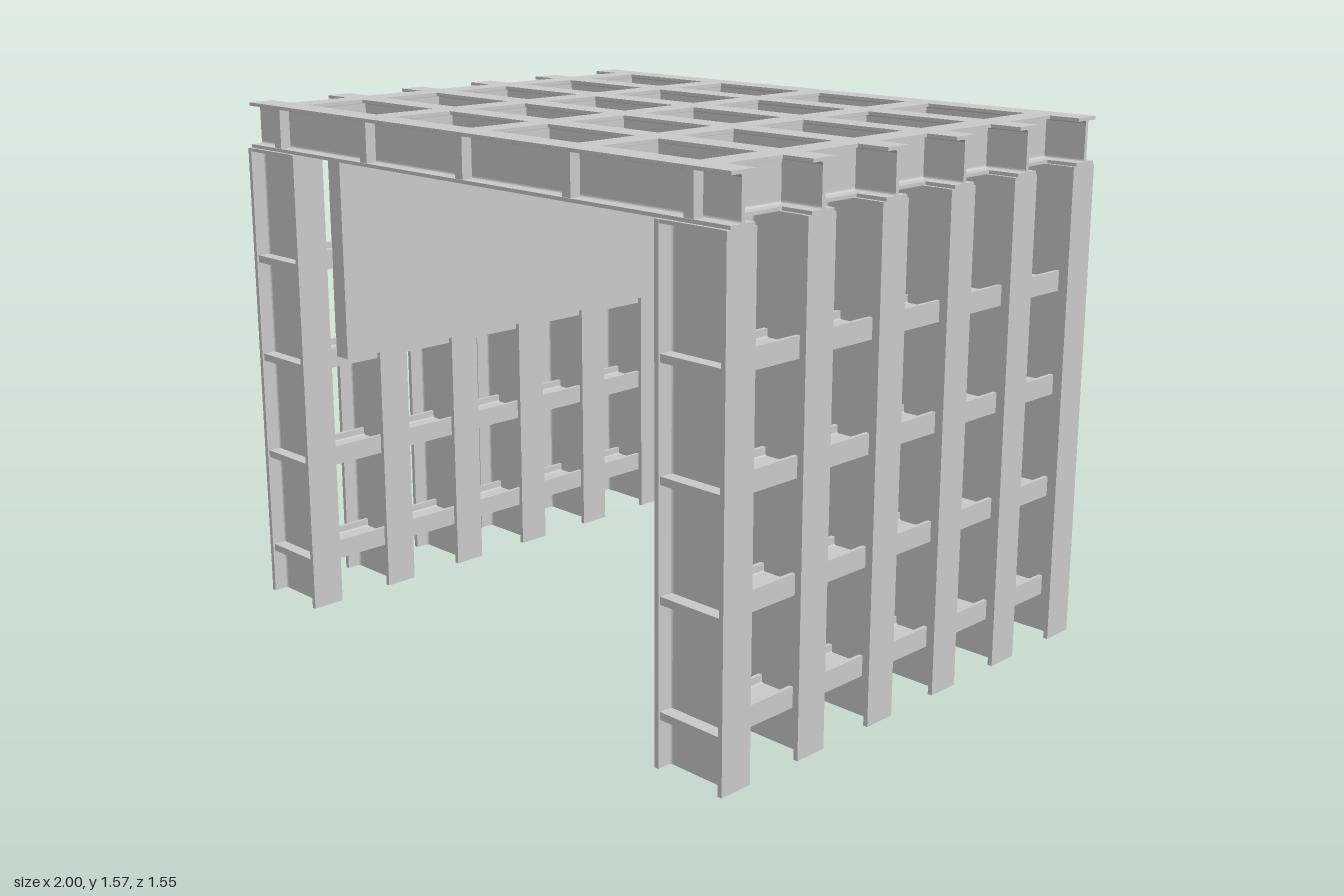
import * as THREE from 'three';

const STEEL = new THREE.MeshStandardMaterial({ color: 0xcccccc });
const PITCH = 0.287, FRAMES = 6, FIRST_Z = 0.722;
const WALL_X = 0.881, WALL_TOP = 1.435, ROOF_TOP = 1.572;

// Rolled I-section extruded along z: depth in y, flange width in x, filleted roots
function iBeam(depth, width, tf, tw, length, r) {
  const h = depth / 2, w = width / 2, t = tw / 2, f = h - tf;
  const s = new THREE.Shape();
  s.moveTo(-w, -h);
  s.lineTo(w, -h);
  s.lineTo(w, -f);
  s.lineTo(t + r, -f);
  s.quadraticCurveTo(t, -f, t, -f + r);
  s.lineTo(t, f - r);
  s.quadraticCurveTo(t, f, t + r, f);
  s.lineTo(w, f);
  s.lineTo(w, h);
  s.lineTo(-w, h);
  s.lineTo(-w, f);
  s.lineTo(-t - r, f);
  s.quadraticCurveTo(-t, f, -t, f - r);
  s.lineTo(-t, -f + r);
  s.quadraticCurveTo(-t, -f, -t - r, -f);
  s.lineTo(-w, -f);
  s.closePath();
  const g = new THREE.ExtrudeGeometry(s, { depth: length, bevelEnabled: false, curveSegments: 4 });
  return g.translate(0, 0, -length / 2);
}

export function createModel() {
  const model = new THREE.Group();
  model.name = 'steelPortalFrame';

  const add = (parent, name, geometry, x, y, z) => {
    const mesh = new THREE.Mesh(geometry, STEEL);
    mesh.name = name;
    mesh.position.set(x, y, z);
    parent.add(mesh);
    return mesh;
  };

  // Shared sections
  const roofDepth = ROOF_TOP - WALL_TOP, roofY = (ROOF_TOP + WALL_TOP) / 2;
  const columnGeo = iBeam(0.238, 0.104, 0.014, 0.014, WALL_TOP, 0.01)
    .rotateZ(Math.PI / 2).rotateX(-Math.PI / 2);
  const capGeo = new THREE.BoxGeometry(0.23, 0.01, 0.1);
  const railGeo = iBeam(0.12, 0.06, 0.012, 0.014, PITCH - 0.008, 0.005).rotateZ(Math.PI / 2);
  const rafterGeo = iBeam(roofDepth, 0.084, 0.01, 0.012, 2, 0.008).rotateY(Math.PI / 2);
  const purlinGeo = iBeam(roofDepth, 0.084, 0.01, 0.014, PITCH - 0.008, 0.008);

  // Walls: columns, horizontal rails, front stiffeners and inner panel
  const railHeights = [0.147, 0.462, 0.779, 1.092];
  for (const side of [-1, 1]) {
    const wall = new THREE.Group();
    wall.name = side > 0 ? 'leftWall' : 'rightWall';
    model.add(wall);
    const x = side * WALL_X;
    for (let i = 0; i < FRAMES; i++) {
      const z = FIRST_Z - i * PITCH;
      add(wall, 'column', columnGeo, x, WALL_TOP / 2, z);
      add(wall, 'columnCap', capGeo, x, WALL_TOP - 0.005, z);
      if (i < FRAMES - 1) {
        for (const y of railHeights) add(wall, 'wallRail', railGeo, x, y, z - PITCH / 2);
      }
    }
    for (const y of railHeights) {
      add(wall, 'columnStiffener', new THREE.BoxGeometry(0.212, 0.022, 0.044), x, y, FIRST_Z + 0.024);
    }
    add(wall, 'innerPanel', new THREE.BoxGeometry(0.056, 0.63, 1.434), side * 0.718, 1.12, -0.057);
  }

  // Roof: rafters across, purlins between them, stiffeners on the front rafter
  const roof = new THREE.Group();
  roof.name = 'roof';
  model.add(roof);
  const purlinX = [-0.861, -0.4305, 0, 0.4305, 0.861];
  for (let i = 0; i < FRAMES; i++) {
    const z = FIRST_Z - 0.003 - i * PITCH;
    add(roof, 'rafter', rafterGeo, 0, roofY, z);
    if (i < FRAMES - 1) {
      for (const x of purlinX) add(roof, 'purlin', purlinGeo, x, roofY, z - PITCH / 2);
    }
  }
  for (const x of purlinX) {
    add(roof, 'rafterStiffener', new THREE.BoxGeometry(0.032, roofDepth - 0.018, 0.036), x, roofY, FIRST_Z + 0.018);
  }

  return model;
}
